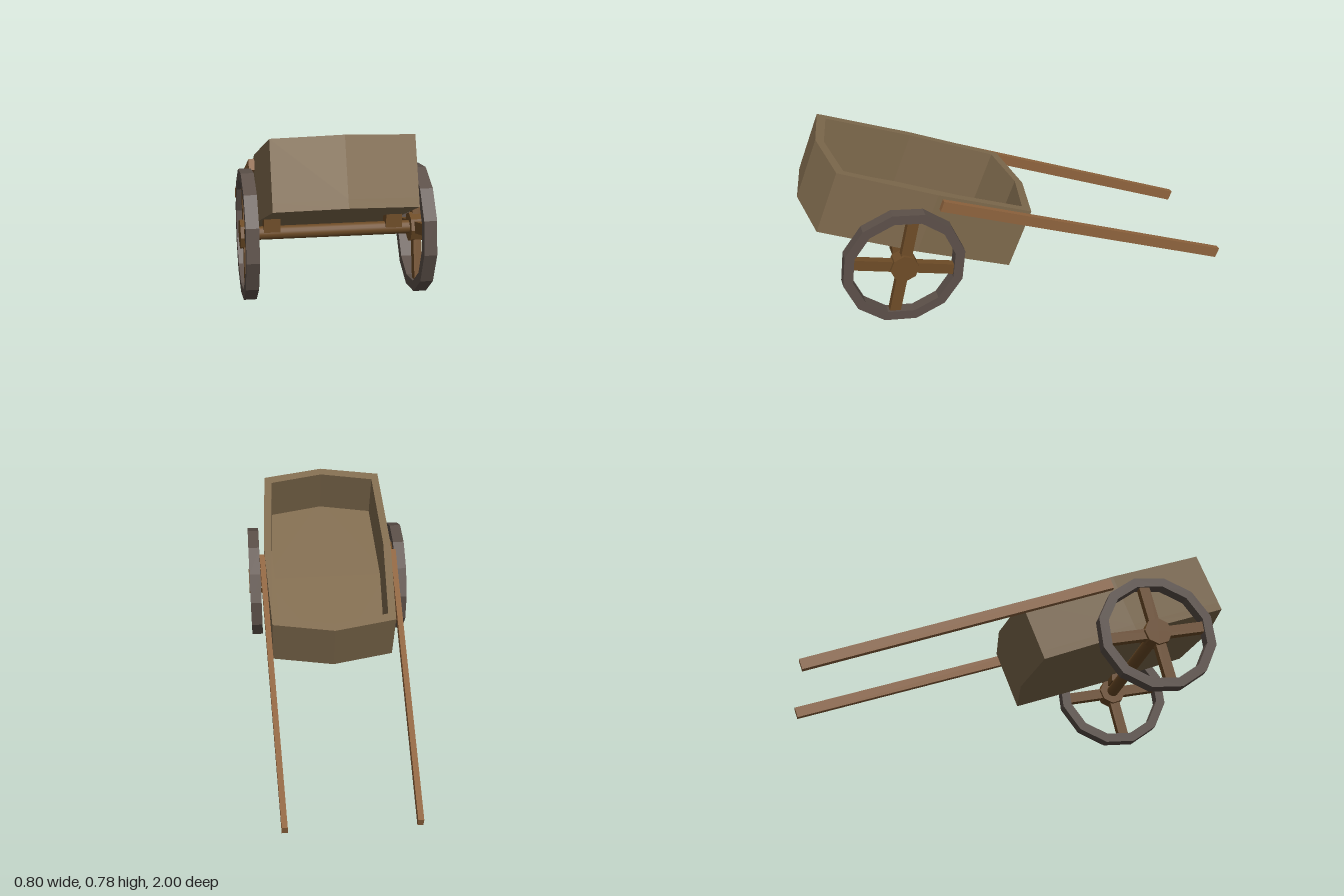
import * as THREE from 'three';

const mat = (name, color, flatShading = true) => {
  const m = new THREE.MeshStandardMaterial({ color, flatShading });
  m.name = name;
  return m;
};

export function createModel() {
  const bodyWood = mat('weathered wood', 0x7f6a4d);
  const handleWood = mat('handle wood', 0x8f643e);
  const rimIron = mat('grey rim', 0x5c5049);
  const axleWood = mat('axle wood', 0x6e4c27);
  const axleRound = axleWood.clone();
  axleRound.flatShading = false;

  const root = new THREE.Group();
  root.name = 'handcart';
  const add = (parent, name, geometry, material) => {
    const mesh = new THREE.Mesh(geometry, material);
    mesh.name = name;
    parent.add(mesh);
    return mesh;
  };

  // Tilted tray: eight-sided walls around a solid floor
  const outline = (corner, middle, shoulder, end) => [
    [0, -end], [corner, -shoulder], [middle, 0], [corner, shoulder],
    [0, end], [-corner, shoulder], [-middle, 0], [-corner, -shoulder],
  ].map(([x, y]) => new THREE.Vector2(x, y));
  const outer = outline(0.297, 0.318, 0.467, 0.517);
  const inner = outline(0.262, 0.281, 0.43, 0.477);
  const upright = (shape, depth) =>
    new THREE.ExtrudeGeometry(shape, { depth, bevelEnabled: false }).rotateX(-Math.PI / 2);

  const tray = new THREE.Group();
  tray.name = 'tray';
  tray.position.set(0, 0.454, 0.466);
  tray.rotation.x = -0.37;
  root.add(tray);
  const wallShape = new THREE.Shape(outer);
  wallShape.holes.push(new THREE.Path(inner));
  add(tray, 'trayWalls', upright(wallShape, 0.257), bodyWood).position.y = -0.109;
  add(tray, 'trayFloor', upright(new THREE.Shape(outer), 0.038), bodyWood).position.y = -0.147;

  // Axle
  const hubY = 0.289, hubZ = 0.594;
  const axle = add(root, 'axle',
    new THREE.CylinderGeometry(0.029, 0.029, 0.7, 16).rotateZ(Math.PI / 2), axleRound);
  axle.position.set(0, hubY, hubZ);

  // Wheel rim: twelve-sided ring, centred on its own axis along x
  const polygon = (r) => Array.from({ length: 12 }, (_, i) => {
    const a = THREE.MathUtils.degToRad(8.5 + i * 30);
    return new THREE.Vector2(r * Math.cos(a), r * Math.sin(a));
  });
  const ring = new THREE.Shape(polygon(0.281));
  ring.holes.push(new THREE.Path(polygon(0.236)));
  const rimGeometry = new THREE.ExtrudeGeometry(ring, { depth: 0.055, bevelEnabled: false })
    .translate(0, 0, -0.0275).rotateY(Math.PI / 2);
  const hubGeometry = new THREE.CylinderGeometry(0.065, 0.065, 0.064, 8).rotateZ(Math.PI / 2);
  const spokeGeometry = new THREE.BoxGeometry(0.035, 0.49, 0.05);

  for (const side of [-1, 1]) {
    const label = side > 0 ? 'left' : 'right';

    // Wheel with hub and crossed spokes
    const wheel = new THREE.Group();
    wheel.name = label + 'Wheel';
    wheel.position.set(side * 0.369, hubY, hubZ);
    root.add(wheel);
    add(wheel, 'rim', rimGeometry, rimIron);
    add(wheel, 'hub', hubGeometry, axleWood);
    for (let i = 0; i < 2; i++) {
      add(wheel, 'spoke', spokeGeometry, axleWood).rotation.x =
        THREE.MathUtils.degToRad(-13 + i * 90);
    }

    // Bracket joining axle and tray
    add(root, label + 'Bracket', new THREE.BoxGeometry(0.07, 0.065, 0.07), axleWood)
      .position.set(side * 0.265, 0.332, hubZ);

    // Long handle running down to the ground
    const front = new THREE.Vector3(side * 0.329, 0.545, 0.402);
    const back = new THREE.Vector3(side * 0.292, 0.024, -0.99);
    const handle = add(root, label + 'Handle',
      new THREE.BoxGeometry(0.026, 0.05, front.distanceTo(back)), handleWood);
    handle.position.copy(front).add(back).multiplyScalar(0.5);
    handle.lookAt(front);
  }
  return root;
}
